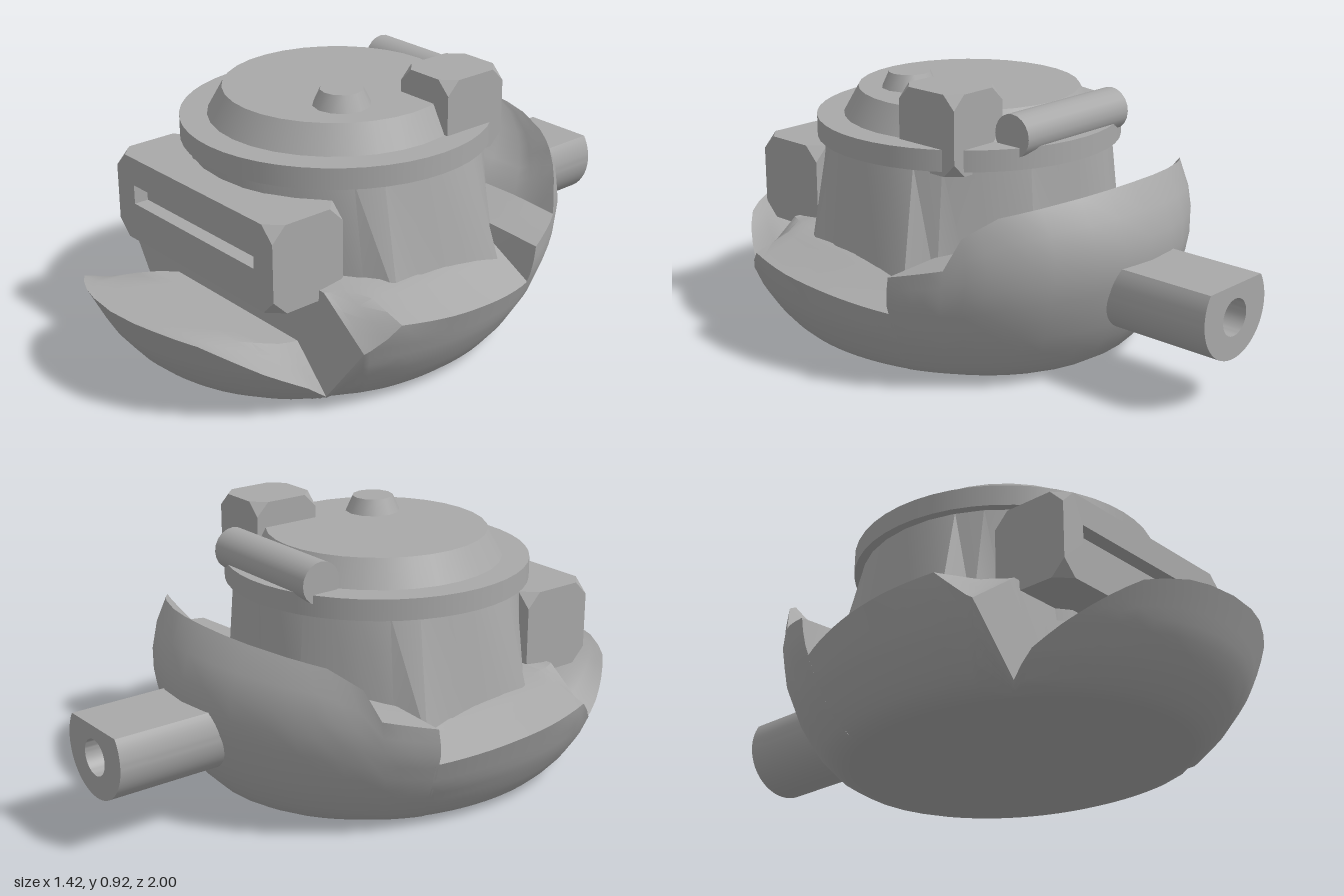
import * as THREE from 'three';
import { toCreasedNormals } from 'three/addons/utils/BufferGeometryUtils.js';
import { ConvexGeometry } from 'three/addons/geometries/ConvexGeometry.js';

// Hull outline at each height: y, half width, front z, back z
const LEVELS = [
  [0, 0.5, 0.75, -0.45], [0.02, 0.55, 0.79, -0.49], [0.08, 0.6, 0.86, -0.55],
  [0.17, 0.655, 0.93, -0.61], [0.31, 0.71, 1, -0.665], [0.42, 0.71, 1, -0.69],
  [0.52, 0.71, 1, -0.67], [0.58, 0.71, 1, -0.64], [0.635, 0.71, 1, -0.6],
];
// Hull rim from front lip to back hood: z, rim height, centre height
const RIM = [
  [1, 0.31, 0.31], [0.99, 0.309, 0.308], [0.97, 0.305, 0.302], [0.9, 0.28, 0.285],
  [0.75, 0.18, 0.24], [0.615, 0.1, 0.195], [0.53, 0.03, 0.17], [0.515, 0.24, 0.375],
  [0.5, 0.25, 0.375], [0.42, 0.33, 0.385], [0.1, 0.295, 0.38], [-0.17, 0.26, 0.36],
  [-0.18, 0.39, 0.4], [-0.34, 0.43, 0.44], [-0.38, 0.53, 0.48], [-0.45, 0.59, 0.52],
  [-0.52, 0.61, 0.57], [-0.57, 0.625, 0.61], [-0.592, 0.632, 0.63], [-0.6, 0.635, 0.635],
];
const lerp = THREE.MathUtils.lerp;

// Ellipse of the hull at height y
function outline(y) {
  let k = 0;
  while (k < LEVELS.length - 2 && y > LEVELS[k + 1][0]) k++;
  const a = LEVELS[k], b = LEVELS[k + 1], t = Math.min(1, (y - a[0]) / (b[0] - a[0]));
  const [w, f, r] = [1, 2, 3].map((n) => lerp(a[n], b[n], t));
  return { w, c: (f + r) / 2, l: (f - r) / 2 };
}

// Surface through rows of points
function grid(rows, crease) {
  const n = rows[0].length, index = [];
  for (let i = 0; i < rows.length - 1; i++) {
    for (let j = 0; j < n - 1; j++) {
      const a = i * n + j, b = a + n;
      index.push(a, b, a + 1, b, b + 1, a + 1);
    }
  }
  const g = new THREE.BufferGeometry();
  g.setAttribute('position', new THREE.Float32BufferAttribute(rows.flat(2), 3));
  g.setIndex(index);
  g.computeVertexNormals();
  return toCreasedNormals(g, crease);
}

function hullGeometries() {
  // Subdivide the long stretches of the rim
  const stations = [];
  RIM.forEach((a, i) => {
    const b = RIM[i + 1];
    const n = b ? Math.max(1, Math.ceil((a[0] - b[0]) / 0.05)) : 1;
    for (let s = 0; s < n; s++) stations.push(b ? a.map((v, k) => lerp(v, b[k], s / n)) : a);
  });
  const points = stations.map(([z, y, top], i) => {
    const o = outline(y);
    let s = THREE.MathUtils.clamp((z - o.c) / o.l, -1, 1);
    if (i === 0) s = 1;
    if (i === stations.length - 1) s = -1;
    return { y, top, s, q: Math.sqrt(1 - s * s), x: o.w * Math.sqrt(1 - s * s), z: o.c + o.l * s };
  });
  // Outer bowl with its flat bottom
  const column = (p, side) => {
    const at = (y, k = 1) => {
      const o = outline(y);
      return [side * o.w * p.q * k, y, o.c + o.l * p.s * k];
    };
    const col = [at(0, 0), at(0, 0.93), at(0)];
    for (let j = 1; j <= 10; j++) col.push(at(p.y * (j / 10) ** 1.3));
    return col;
  };
  const bowl = [
    ...points.map((p) => column(p, 1)),
    ...points.slice(0, -1).reverse().map((p) => column(p, -1)),
  ];
  // Deck, lip and hood top, swept across the rim
  const across = [1, 0.9, 0.8, 0.7, 0.45, 0.2, 0, -0.2, -0.45, -0.7, -0.8, -0.9, -1];
  const deck = points.map((p) => across.map((f) => {
    const t = Math.min(1, (1 - Math.abs(f)) / 0.3);
    return [p.x * f, lerp(p.y, p.top, t), p.z];
  }));
  return [grid(bowl, 0.7), grid(deck, 0.5)];
}

// Eight-sided base blending into a round top
function turretGeometry() {
  const base = [[0.54, 0.31], [0.54, -0.13], [0.2, -0.38], [-0.2, -0.38],
    [-0.54, -0.13], [-0.54, 0.31], [-0.2, 0.55], [0.2, 0.55]];
  const rows = [];
  for (let i = 0; i <= 32; i++) {
    const k = Math.floor(i / 4), s = (i % 4) / 4, a = base[k % 8], b = base[(k + 1) % 8];
    const t = (i / 32) * Math.PI * 2 - Math.PI / 8;
    rows.push([
      [lerp(a[0], b[0], s), 0.3, lerp(a[1], b[1], s)],
      [0.48 * Math.cos(t), 0.68, 0.1 - 0.48 * Math.sin(t)],
    ]);
  }
  return grid(rows, 0.4);
}

// Box with its corners cut off; the front corners may stay whole
function cutBox(w, h, d, c, cutFront = true) {
  const pts = [];
  for (const x of [-1, 1]) for (const y of [-1, 1]) for (const z of [-1, 1]) {
    const p = new THREE.Vector3(x * w / 2, y * h / 2, z * d / 2);
    if (z > 0 && !cutFront) pts.push(p);
    else {
      pts.push(p.clone().add(new THREE.Vector3(-x * c, 0, 0)));
      pts.push(p.clone().add(new THREE.Vector3(0, -y * c, 0)));
      pts.push(p.clone().add(new THREE.Vector3(0, 0, -z * c)));
    }
  }
  return new ConvexGeometry(pts);
}

// Slotted front slab whose corners widen to a full rectangle at the back
function slottedFace(w, h, c) {
  const a = w / 2, b = h / 2;
  const shape = new THREE.Shape([[a - c, -b], [a, c - b], [a, b - c], [a - c, b],
    [c - a, b], [-a, b - c], [-a, c - b], [c - a, -b]].map((p) => new THREE.Vector2(...p)));
  shape.holes.push(new THREE.Path([[-0.315, -0.015], [-0.315, 0.05], [0.315, 0.05], [0.315, -0.015]]
    .map((p) => new THREE.Vector2(...p))));
  const g = new THREE.ExtrudeGeometry(shape, { depth: c, bevelEnabled: false });
  const p = g.attributes.position;
  for (let i = 0; i < p.count; i++) {
    const x = p.getX(i), y = p.getY(i);
    const outer = Math.abs(x) > a - 1e-4 || Math.abs(y) > b - 1e-4;
    if (outer && p.getZ(i) < 1e-4) p.setXY(i, Math.sign(x) * a, Math.sign(y) * b);
  }
  g.computeVertexNormals();
  return g;
}

// Round barrel with a flat top and a bore
function barrelGeometry() {
  const r = 0.155, flat = Math.asin(0.085 / r);
  const shape = new THREE.Shape();
  shape.absarc(0, 0, r, Math.PI - flat, Math.PI * 2 + flat, false);
  shape.closePath();
  const bore = new THREE.Path();
  bore.absarc(0, -0.02, 0.06, 0, Math.PI * 2, true);
  shape.holes.push(bore);
  const g = new THREE.ExtrudeGeometry(shape, { depth: 0.45, bevelEnabled: false, curveSegments: 24 });
  return toCreasedNormals(g, 0.4);
}

export function createModel() {
  const model = new THREE.Group();
  const grey = new THREE.MeshStandardMaterial({ color: 0xa8a8a8 });
  grey.name = 'grey';
  const add = (name, geometry, x = 0, y = 0, z = 0) => {
    const mesh = new THREE.Mesh(geometry, grey);
    mesh.name = name;
    mesh.position.set(x, y, z);
    model.add(mesh);
    return mesh;
  };
  const disc = (top, bottom, h, n = 48) => new THREE.CylinderGeometry(top, bottom, h, n);

  // Hull
  const [bowl, deck] = hullGeometries();
  add('hullBowl', bowl);
  add('hullDeck', deck);
  add('barrel', barrelGeometry(), 0, 0.315, -1);

  // Turret and roof
  add('turret', turretGeometry());
  add('turretRing', disc(0.51, 0.51, 0.07), 0, 0.71, 0.1);
  add('roof', disc(0.37, 0.42, 0.09, 32), 0, 0.79, 0.1);
  add('roofKnob', disc(0.07, 0.095, 0.055, 12), 0.165, 0.86, 0.215);
  add('rearRoller', disc(0.07, 0.07, 0.485, 20), 0, 0.777, -0.315).rotation.z = Math.PI / 2;
  add('periscope', cutBox(0.215, 0.26, 0.24, 0.045), 0.3125, 0.79, -0.12);

  // Slotted visor box
  add('visorBox', cutBox(0.815, 0.29, 0.22, 0.05, false), 0, 0.485, 0.53);
  add('visorFace', slottedFace(0.815, 0.29, 0.05), 0, 0.485, 0.64);
  return model;
}
